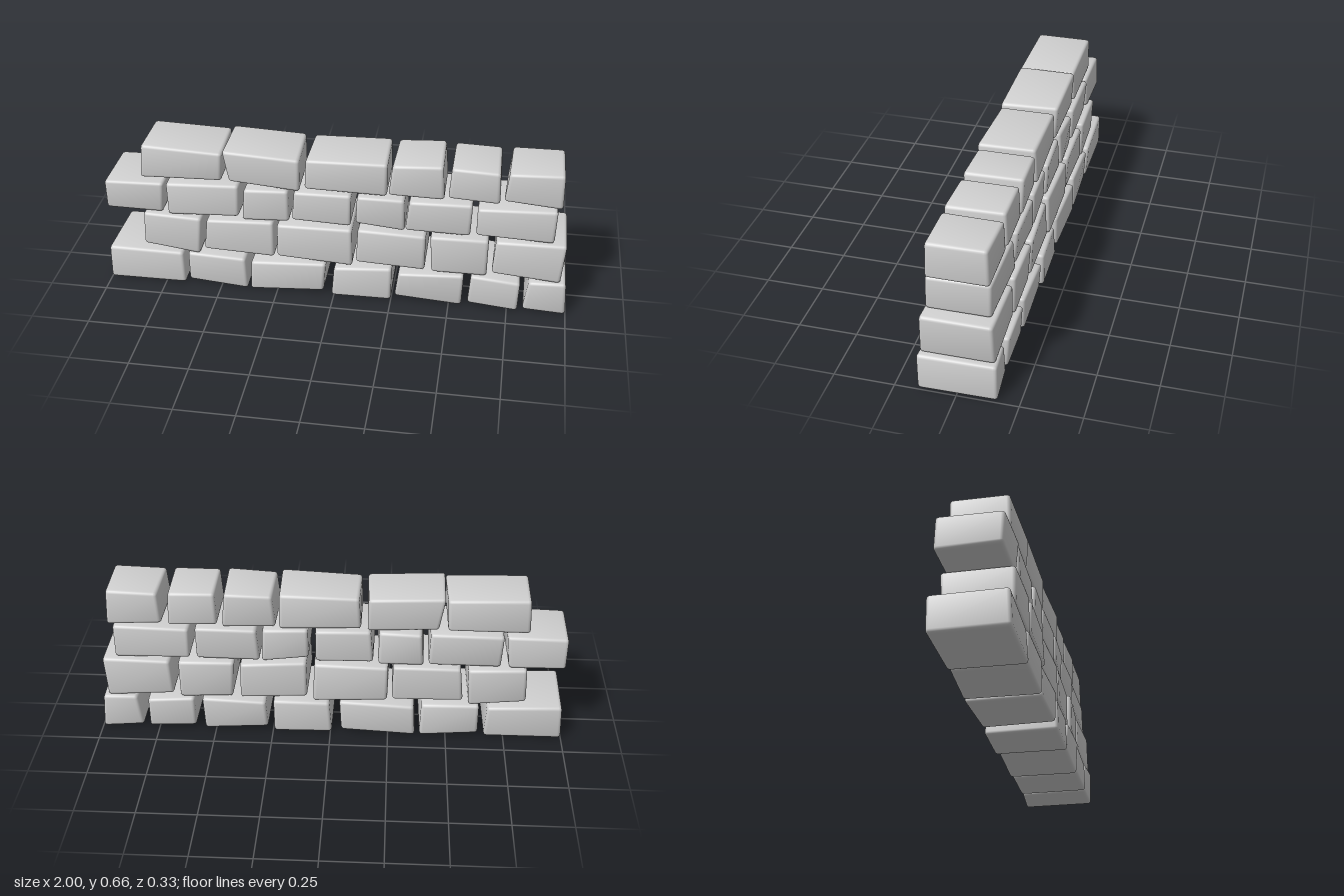
import * as THREE from 'three';
import { RoundedBoxGeometry } from 'three/addons/geometries/RoundedBoxGeometry.js';
import { mergeVertices } from 'three/addons/utils/BufferGeometryUtils.js';

// Small seeded generator for the uneven depth of the stones
function seeded(seed) {
  let s = seed;
  return () => (s = (s * 16807) % 2147483647) / 2147483647;
}

// One worn block: a rounded box whose eight corners are moved, the rest follows linearly.
// corner(sx, sy, sz) returns the position of each corner, with s = 0 or 1.
function stoneGeometry(w, h, d, corner) {
  const box = new RoundedBoxGeometry(w, h, d, 2, 0.015);
  box.deleteAttribute('normal');
  box.deleteAttribute('uv');
  const geo = mergeVertices(box, 1e-5);
  geo.clearGroups();
  const corners = [];
  for (let i = 0; i < 8; i++) corners.push(corner(i & 1, (i >> 1) & 1, i >> 2));
  const pos = geo.attributes.position;
  const outward = [];
  const p = new THREE.Vector3();
  for (let v = 0; v < pos.count; v++) {
    const t = [pos.getX(v) / w + 0.5, pos.getY(v) / h + 0.5, pos.getZ(v) / d + 0.5];
    outward.push(new THREE.Vector3(...t).subScalar(0.5));
    p.set(0, 0, 0);
    corners.forEach((c, i) => {
      const weight = (i & 1 ? t[0] : 1 - t[0]) * (i & 2 ? t[1] : 1 - t[1]) * (i & 4 ? t[2] : 1 - t[2]);
      p.addScaledVector(c, weight);
    });
    pos.setXYZ(v, p.x, p.y, p.z);
  }
  geo.computeVertexNormals();
  // Lean the normals outward so each face reads as slightly pillowed
  const normal = geo.attributes.normal;
  outward.forEach((o, v) => {
    p.fromBufferAttribute(normal, v).addScaledVector(o, 0.3).normalize();
    normal.setXYZ(v, p.x, p.y, p.z);
  });
  return geo;
}

export function createModel() {
  const wall = new THREE.Group();
  wall.name = 'stoneWall';
  const stoneGrey = new THREE.MeshStandardMaterial({ color: 0xd0d0d0 });
  stoneGrey.name = 'stoneGrey';
  const random = seeded(4711);

  // Each stone: x of bottom left, bottom right, top right, top left,
  // then how far each of those corners is worn back from the course line
  function course(name, y0, y1, front, back, stones) {
    const group = new THREE.Group();
    group.name = name;
    stones.forEach(([bl, br, tr, tl, wbl, wbr, wtr, wtl], n) => {
      const geo = stoneGeometry((br - bl + tr - tl) / 2, y1 - y0, front - back, (sx, sy, sz) => {
        const x = sy ? (sx ? tr : tl) : (sx ? br : bl);
        const wear = sy ? (sx ? wtr : wtl) : (sx ? wbr : wbl);
        const rear = sz ? 0 : 0.008 * random() * (sx ? -1 : 1);
        const wearHere = wear * (sz ? 0.8 : 0.6);
        const z = sz ? front - 0.014 * random() : back + 0.014 * random();
        return new THREE.Vector3(x + rear, sy ? y1 - wearHere : y0 + wearHere, z);
      });
      const stone = new THREE.Mesh(geo, stoneGrey);
      stone.name = `${name}Stone${n + 1}`;
      group.add(stone);
    });
    wall.add(group);
  }

  // Four courses, each a little thinner than the one below
  course('bottomCourse', 0.003, 0.163, 0.166, -0.164, [
    [-1, -0.66, -0.67, -1, 0.005, 0.005, 0.01, 0],
    [-0.645, -0.38, -0.39, -0.645, 0.025, 0, 0.01, 0],
    [-0.37, -0.045, -0.035, -0.365, 0, 0.025, 0, 0.025],
    [-0.01, 0.25, 0.25, 0, 0.005, 0.005, 0, 0.02],
    [0.265, 0.555, 0.56, 0.28, 0.03, 0.005, 0, 0.02],
    [0.58, 0.795, 0.8, 0.59, 0.025, 0.005, 0.025, 0],
    [0.815, 1, 0.99, 0.835, 0.015, 0.005, 0, 0.01],
  ]);
  course('secondCourse', 0.16, 0.343, 0.154, -0.152, [
    [-0.84, -0.59, -0.58, -0.835, 0.035, 0, 0.01, 0],
    [-0.57, -0.26, -0.265, -0.555, 0.035, 0.02, 0, 0.01],
    [-0.25, 0.08, 0.075, -0.25, 0.02, 0, 0.005, 0.015],
    [0.095, 0.39, 0.39, 0.1, 0.03, 0.005, 0.015, 0],
    [0.42, 0.655, 0.655, 0.41, 0.01, 0, 0.01, 0],
    [0.675, 0.965, 0.98, 0.685, 0.025, 0, 0, 0.01],
  ]);
  course('thirdCourse', 0.341, 0.5, 0.14, -0.138, [
    [-1, -0.75, -0.74, -1, 0.01, 0.005, 0.01, 0.02],
    [-0.725, -0.415, -0.415, -0.73, 0, 0.015, 0, 0.01],
    [-0.4, -0.195, -0.2, -0.39, 0, 0.01, 0.005, 0.01],
    [-0.185, 0.07, 0.07, -0.175, 0.02, 0.015, 0, 0.005],
    [0.09, 0.3, 0.295, 0.095, 0.04, 0.005, 0.005, 0],
    [0.3, 0.575, 0.58, 0.315, 0.01, 0.01, 0, 0.01],
    [0.6, 0.925, 0.93, 0.6, 0.02, 0.005, 0.005, 0.02],
  ]);
  course('topCourse', 0.498, 0.662, 0.13, -0.128, [
    [-0.84, -0.487, -0.48, -0.83, 0.015, 0.025, 0.015, 0],
    [-0.455, -0.15, -0.15, -0.48, 0.025, 0, 0.02, 0],
    [-0.13, 0.22, 0.22, -0.125, 0.015, 0.01, 0.005, 0.02],
    [0.225, 0.46, 0.45, 0.24, 0.015, 0.01, 0, 0.015],
    [0.475, 0.69, 0.685, 0.485, 0.025, 0.015, 0.01, 0.005],
    [0.705, 0.948, 0.945, 0.72, 0.03, 0.01, 0, 0.01],
  ]);

  return wall;
}
